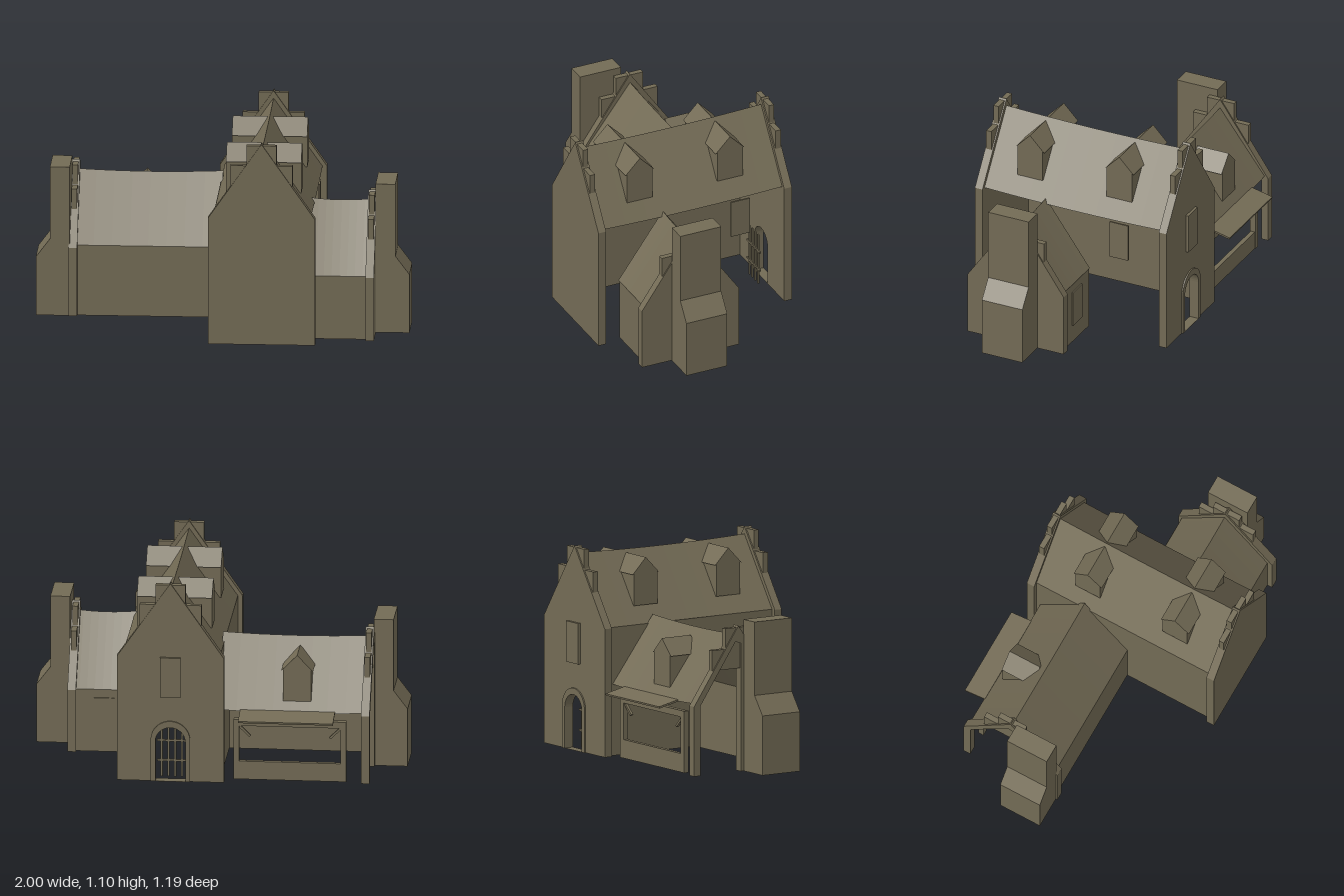
import * as THREE from 'three';

const stone = new THREE.MeshStandardMaterial({ color: 0x736b55, side: THREE.DoubleSide });
stone.name = 'weatheredStone';

function shapeOf(points) {
  return new THREE.Shape(points.map(([x, y]) => new THREE.Vector2(x, y)));
}

function extrude(shape, depth) {
  const g = new THREE.ExtrudeGeometry(shape, { depth, bevelEnabled: false, curveSegments: 10 });
  return g.translate(0, 0, -depth / 2);
}

export function createModel() {
  const model = new THREE.Group();
  model.name = 'manorHouse';

  function add(name, geometry, x = 0, y = 0, z = 0, ry = 0, parent = model) {
    const mesh = new THREE.Mesh(geometry, stone);
    mesh.name = name;
    mesh.position.set(x, y, z);
    mesh.rotation.y = ry;
    parent.add(mesh);
    return mesh;
  }
  const box = (name, w, h, d, x, y, z, parent) =>
    add(name, new THREE.BoxGeometry(w, h, d), x, y, z, 0, parent);
  const wall = (name, w, h, x, z, ry) =>
    add(name, new THREE.PlaneGeometry(w, h), x, h / 2, z, ry);

  // Pitched roof running along local z, with a slightly sagging ridge
  function roof(name, half, eave, ridge, length, x, z, ry = 0) {
    const plane = new THREE.PlaneGeometry(half * 2, length, 2, 8).rotateX(-Math.PI / 2);
    const p = plane.attributes.position;
    for (let i = 0; i < p.count; i++) {
      const side = Math.abs(p.getX(i)) / half;
      const along = p.getZ(i) / (length / 2);
      p.setY(i, ridge - (ridge - eave) * side - 0.01 * (1 - along * along));
    }
    const g = plane.toNonIndexed();
    g.computeVertexNormals();
    add(name, g, x, 0, z, ry);
  }

  // Gable wall with two tiers of crow-steps
  function gable(name, peak, x, z, ry, { notch = [], hole } = {}) {
    const g = new THREE.Group();
    g.name = name;
    g.position.set(x, 0, z);
    g.rotation.y = ry;
    model.add(g);
    const eave = peak - 0.41;
    const shape = shapeOf([[-0.285, 0], ...notch, [0.285, 0], [0.285, eave], [0, peak], [-0.285, eave]]);
    if (hole) shape.holes.push(hole);
    add('gableWall', extrude(shape, 0.045), 0, 0, 0, 0, g);
    box('lowerStep', 0.33, 0.11, 0.03, 0, peak - 0.175, 0, g);
    box('upperStep', 0.16, 0.11, 0.03, 0, peak - 0.065, 0, g);
  }

  // Dormer with small projecting eaves; its face is at local z = 0
  const dormerShape = shapeOf([[-0.075, 0], [0.075, 0], [0.075, 0.175], [0.085, 0.168],
    [0, 0.255], [-0.085, 0.168], [-0.075, 0.175]]);
  const dormerGeometry = extrude(dormerShape, 0.185).translate(0, 0, -0.0925);
  const dormer = (x, y, z, ry) => add('dormer', dormerGeometry, x, y, z, ry);

  // Chimney stack with a sloped shoulder on its outer side
  function chimney(name, side, z) {
    const s = shapeOf([[0.82, 0], [1, 0], [1, 0.32], [0.925, 0.42], [0.925, 0.815], [0.82, 0.815]]);
    add(name, extrude(s, 0.24), 0, 0, z, side > 0 ? 0 : Math.PI);
  }

  // Main hall
  roof('hallRoof', 0.26, 0.69, 1.06, 1.06, 0.23, 0.02);
  wall('hallLeftWall', 1.06, 0.69, -0.03, 0.02, -Math.PI / 2);
  gable('hallFrontGable', 1.1, 0.23, 0.567, 0);
  const arch = new THREE.Path();
  arch.moveTo(-0.08, 0.001);
  arch.lineTo(-0.08, 0.22);
  arch.absarc(0, 0.22, 0.08, Math.PI, 0, true);
  arch.lineTo(0.08, 0.001);
  arch.closePath();
  gable('hallBackGable', 1.1, 0.23, -0.525, 0, { hole: arch });
  for (const z of [0.305, -0.225]) {
    dormer(0.43, 0.78, z, Math.PI / 2);
    dormer(0.03, 0.78, z, -Math.PI / 2);
  }

  // Arched doorway surround and gate bars
  const surround = new THREE.Shape();
  surround.moveTo(-0.105, 0);
  surround.lineTo(-0.105, 0.23);
  surround.absarc(0, 0.23, 0.105, Math.PI, 0, true);
  surround.lineTo(0.105, 0);
  surround.closePath();
  surround.holes.push(arch);
  add('doorSurround', extrude(surround, 0.009), 0.23, 0, -0.551);
  for (let i = 0; i < 4; i++) box('gateBar', 0.011, 0.3, 0.008, 0.176 + i * 0.036, 0.15, -0.46);
  for (const y of [0.09, 0.2]) box('gateRail', 0.16, 0.011, 0.008, 0.23, y, -0.46);

  // Windows
  box('backWindow', 0.11, 0.22, 0.016, 0.23, 0.58, -0.555);
  box('sideWindow', 0.009, 0.21, 0.11, 0.49, 0.565, -0.255);
  box('wingWindow', 0.11, 0.2, 0.009, 0.625, 0.2, -0.073);

  // Right wing
  roof('rightWingRoof', 0.26, 0.345, 0.705, 0.33, 0.635, 0.19, Math.PI / 2);
  wall('rightWingFrontWall', 0.31, 0.345, 0.635, 0.45, 0);
  wall('rightWingBackWall', 0.31, 0.345, 0.635, -0.07, Math.PI);
  gable('rightWingGable', 0.755, 0.798, 0.194, Math.PI / 2);
  chimney('rightChimney', 1, 0.184);

  // Left wing, with a gable open beside the chimney
  roof('leftWingRoof', 0.265, 0.385, 0.735, 0.77, -0.405, -0.215, Math.PI / 2);
  wall('leftWingFrontWall', 0.76, 0.385, -0.41, 0.05, 0);
  gable('leftWingGable', 0.785, -0.803, -0.215, Math.PI / 2,
    { notch: [[-0.015, 0], [-0.015, 0.69], [0.02, 0.7], [0.245, 0.375], [0.245, 0]] });
  dormer(-0.435, 0.43, -0.44, Math.PI);
  chimney('leftChimney', -1, -0.06);

  // Shallow canopy over the open back of the left wing
  const canopy = box('canopy', 0.505, 0.01, 0.125, -0.387, 0.368, -0.535);
  canopy.rotation.x = -0.22;

  // Timber front of the open back
  const frame = new THREE.Group();
  frame.name = 'openFront';
  frame.position.set(-0.4, 0, -0.465);
  model.add(frame);
  box('lowWall', 0.6, 0.1, 0.025, 0, 0.05, 0, frame);
  box('topBeam', 0.6, 0.035, 0.03, 0, 0.315, 0, frame);
  for (const s of [-1, 1]) {
    box('post', 0.03, 0.33, 0.03, s * 0.285, 0.165, 0, frame);
    const brace = box('brace', 0.012, 0.09, 0.015, s * 0.245, 0.27, 0, frame);
    brace.rotation.z = -s * 0.8;
  }
  return model;
}
